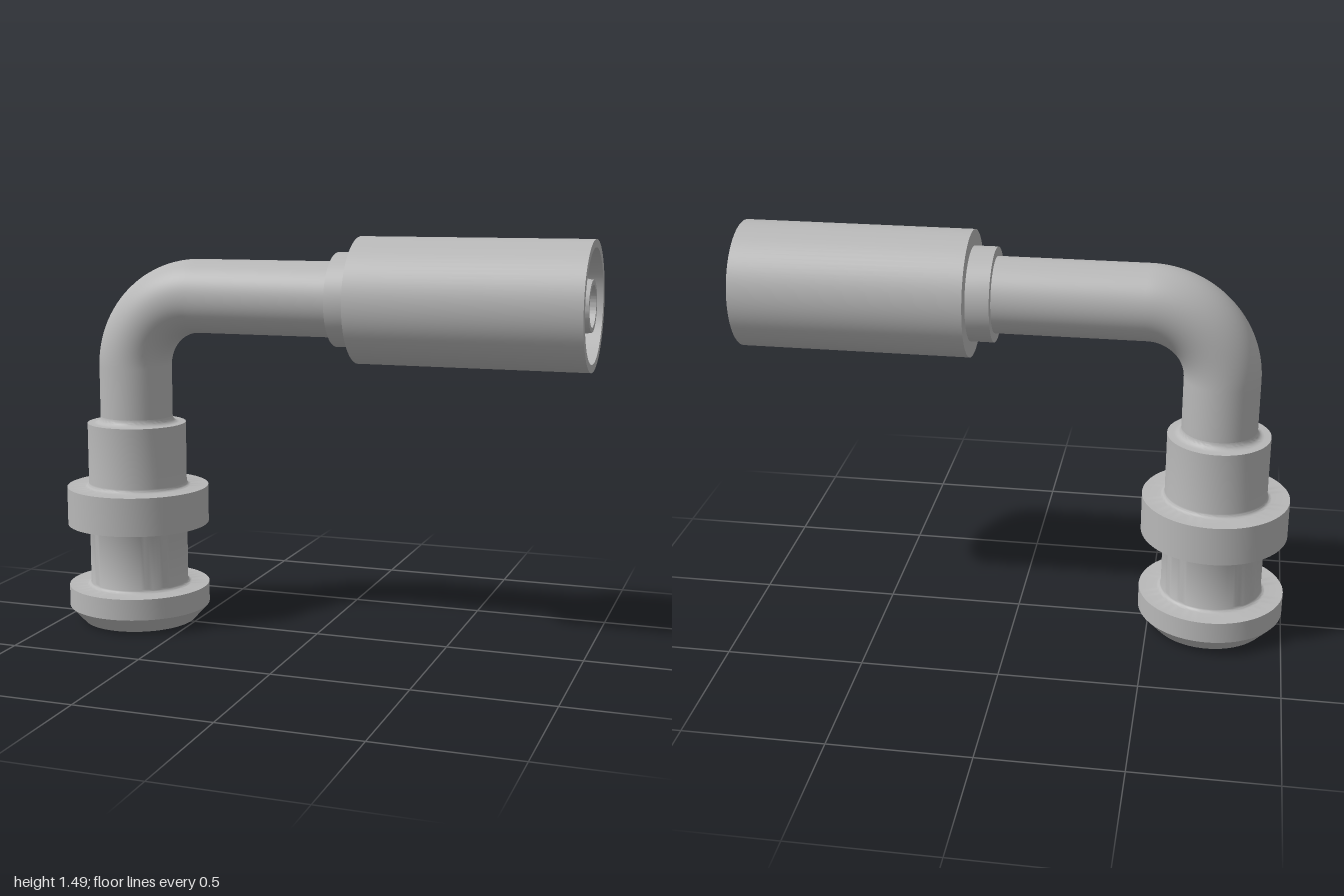
import * as THREE from 'three';
import { toCreasedNormals } from 'three/addons/utils/BufferGeometryUtils.js';

const AXIS_X = -0.73, AXIS_Y = 1.257, BEND = 0.27;

// Centre line: straight up, a quarter bend, then straight along +x
class ElbowCurve extends THREE.Curve {
  constructor(startY, endX) {
    super();
    this.startY = startY;
    this.rise = AXIS_Y - BEND - startY;
    this.arc = BEND * Math.PI / 2;
    this.run = endX - (AXIS_X + BEND);
  }
  getPoint(t, target = new THREE.Vector3()) {
    const s = t * (this.rise + this.arc + this.run);
    if (s < this.rise) return target.set(AXIS_X, this.startY + s, 0);
    if (s > this.rise + this.arc) return target.set(AXIS_X + BEND + s - this.rise - this.arc, AXIS_Y, 0);
    const a = (s - this.rise) / BEND;
    return target.set(AXIS_X + BEND * (1 - Math.cos(a)), AXIS_Y - BEND + BEND * Math.sin(a), 0);
  }
}

// Concave fillet between a wall of radius r and a flat face at height y.
// dir = 1: the face is below the wall, dir = -1: the face is above it
function fillet(r, y, f, dir) {
  const pts = [];
  for (let i = 0; i <= 5; i++) {
    const a = (i / 5) * Math.PI / 2;
    pts.push([r + f * (1 - Math.sin(a)), y + dir * f * (1 - Math.cos(a))]);
  }
  return dir > 0 ? pts : pts.reverse();
}

function lathe(profile) {
  const pts = profile.map(([r, y]) => new THREE.Vector2(r, y));
  return toCreasedNormals(new THREE.LatheGeometry(pts, 80), 0.5);
}

export function createModel() {
  const metal = new THREE.MeshStandardMaterial({ color: 0xb8b8b8, side: THREE.DoubleSide });
  metal.name = 'grey metal';
  const group = new THREE.Group();
  group.name = 'elbowHoseFitting';

  const add = (name, geometry) => {
    const mesh = new THREE.Mesh(geometry, metal);
    mesh.name = name;
    group.add(mesh);
    return mesh;
  };

  // Plug with two flanges and an open bore
  const plug = add('flangedPlug', lathe([
    [0.125, 0], [0.215, 0], [0.27, 0.06], [0.27, 0.14],
    ...fillet(0.187, 0.14, 0.016, 1),
    ...fillet(0.187, 0.38, 0.016, -1),
    [0.27, 0.38], [0.27, 0.525],
    ...fillet(0.187, 0.525, 0.016, 1),
    [0.187, 0.77],
    ...fillet(0.137, 0.77, 0.025, 1),
    [0.075, 0.795], [0.075, 0.7], [0.112, 0.7], [0.112, 0.013], [0.125, 0],
  ]));
  plug.position.x = AXIS_X;

  // Bent pipe and its inner wall
  add('bentPipe', new THREE.TubeGeometry(new ElbowCurve(0.78, 0.1), 120, 0.137, 64));
  add('pipeBore', new THREE.TubeGeometry(new ElbowCurve(0.72, 0.1), 120, 0.075, 48));

  // Crimp sleeve with collar, its open end holding a tapered nipple
  const sleeve = add('crimpSleeve', lathe([
    [0.073, 0.08], [0.17, 0.08], [0.17, 0.165], [0.228, 0.165], [0.228, 1],
    [0.2, 1], [0.175, 0.3], [0.112, 0.3], [0.112, 0.86], [0.09, 0.995],
    [0.073, 0.995], [0.073, 0.08],
  ]));
  sleeve.rotation.z = -Math.PI / 2;
  sleeve.position.y = AXIS_Y;

  return group;
}
